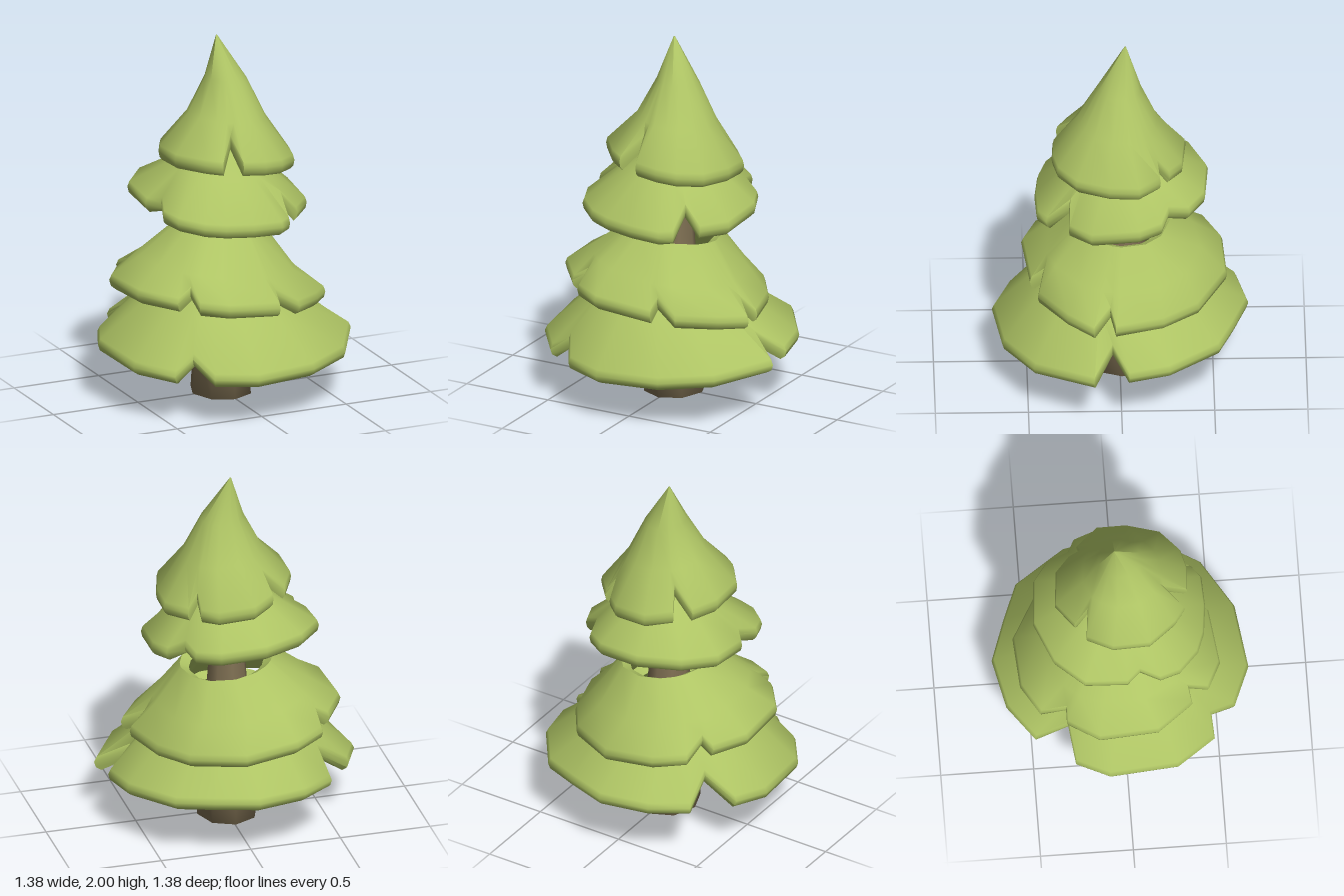
import * as THREE from 'three';
import { toCreasedNormals } from 'three/addons/utils/BufferGeometryUtils.js';

const green = new THREE.MeshStandardMaterial({ color: 0xaec464 });
const brown = new THREE.MeshStandardMaterial({ color: 0x7f7053 });

// Thick skirt of foliage. profile: upper rings [radius, y, shiftX, shiftZ];
// rim: hem points [x, z, lift] where lift marks a notch; y and tilt place the hem plane.
function skirt(name, { profile, rim, y, tiltX = 0, tiltZ = 0, thickness = 0.05 }) {
  const tilted = (x, h, z) => [x, h + tiltX * x + tiltZ * z, z];
  const positions = [];
  const index = [];
  const ring = ([r, h, cx = 0, cz = 0]) => {
    for (const [x, z] of rim) {
      const a = Math.atan2(z, x);
      positions.push(...tilted(cx + r * Math.cos(a), h, cz + r * Math.sin(a)));
    }
  };
  const hem = (scale, rise) => {
    for (const [x, z, lift = 0] of rim) positions.push(...tilted(x * scale, y + rise + lift, z * scale));
  };
  // Outside going down, round the lip, then back up the inside
  profile.forEach(ring);
  hem(0.98, 0.08);
  hem(1, 0.05);
  hem(0.985, 0.018);
  hem(0.945, 0);
  hem(0.9, 0.02);
  [...profile].reverse().forEach(([r, h, cx, cz]) =>
    ring([Math.max(r - thickness, 0.003), h - thickness * 0.6, cx, cz]));

  const cols = rim.length;
  const rows = positions.length / 3 / cols;
  for (let i = 0; i < rows; i++) {
    for (let j = 0; j < cols; j++) {
      const k = (j + 1) % cols;
      const n = (i + 1) % rows;
      const a = i * cols + j, b = i * cols + k, c = n * cols + j, d = n * cols + k;
      index.push(a, b, c, b, d, c);
    }
  }
  const geometry = new THREE.BufferGeometry();
  geometry.setAttribute('position', new THREE.Float32BufferAttribute(positions, 3));
  geometry.setIndex(index);
  const mesh = new THREE.Mesh(toCreasedNormals(geometry, 1.1), green);
  mesh.name = name;
  return mesh;
}

export function createModel() {
  const tree = new THREE.Group();
  tree.name = 'pineTree';

  // Tapering trunk with a closed base, slightly narrower across than deep
  const trunkProfile = [[0, 0], [0.185, 0], [0.165, 0.3], [0.13, 0.7], [0.108, 1.0], [0.075, 1.4], [0, 1.42]]
    .map(([r, h]) => new THREE.Vector2(r, h));
  const trunkGeometry = new THREE.LatheGeometry(trunkProfile, 8).scale(0.9, 1, 1);
  const trunk = new THREE.Mesh(trunkGeometry, brown);
  trunk.name = 'trunk';
  trunk.position.set(-0.005, 0, -0.01);
  tree.add(trunk);

  tree.add(skirt('bottomFoliage', {
    profile: [[0.25, 0.73, -0.02, 0.02], [0.4, 0.575, -0.03, 0.03]],
    y: 0.265, tiltZ: -0.065,
    rim: [
      [0, -0.69], [0.23, -0.61], [0.43, -0.53], [0.62, -0.26], [0.665, -0.04], [0.525, 0.05, 0.1],
      [0.69, 0.15], [0.51, 0.47], [0.25, 0.635], [-0.1, 0.685], [-0.32, 0.595],
      [-0.39, 0.465, 0.08], [-0.5, 0.475], [-0.65, 0.27], [-0.69, -0.1], [-0.61, -0.28],
      [-0.43, -0.31, 0.12], [-0.455, -0.49], [-0.27, -0.63],
    ],
  }));

  tree.add(skirt('lowerFoliage', {
    profile: [[0.25, 0.92, 0, -0.02], [0.42, 0.735, -0.03, -0.015]],
    y: 0.54, tiltX: -0.125, tiltZ: 0.03,
    rim: [
      [0.04, -0.575], [0.32, -0.42], [0.45, -0.23], [0.525, 0.03], [0.44, 0.06, 0.06],
      [0.54, 0.15], [0.43, 0.29], [0.25, 0.445], [0.125, 0.415, 0.06], [0.12, 0.485], [-0.2, 0.525],
      [-0.345, 0.455], [-0.35, 0.345, 0.06], [-0.43, 0.36], [-0.58, 0.17], [-0.6, -0.15],
      [-0.49, -0.32], [-0.42, -0.32, 0.05], [-0.415, -0.46], [-0.25, -0.555],
    ],
  }));

  tree.add(skirt('upperFoliage', {
    profile: [[0.1, 1.43], [0.25, 1.285]],
    y: 1.045, tiltX: -0.06, tiltZ: -0.12,
    rim: [
      [-0.1, -0.475], [0.15, -0.455], [0.27, -0.37], [0.3, -0.26, 0.04], [0.39, -0.22], [0.44, -0.1],
      [0.425, 0.16], [0.315, 0.28], [0.22, 0.275, 0.1], [0.215, 0.4], [0.15, 0.45], [-0.02, 0.458],
      [-0.18, 0.44], [-0.29, 0.4], [-0.4, 0.3], [-0.44, 0.19], [-0.4, 0.08, 0.03],
      [-0.46, 0.01], [-0.46, -0.22], [-0.325, -0.38],
    ],
  }));

  tree.add(skirt('topFoliage', {
    profile: [[0.004, 2, -0.02, -0.03], [0.115, 1.77, 0.02, 0], [0.215, 1.565, 0.02, 0.01]],
    y: 1.3, tiltX: -0.1, tiltZ: 0.04,
    rim: [
      [-0.07, -0.355], [0.13, -0.335], [0.21, -0.265], [0.215, -0.2, 0.08], [0.27, -0.215], [0.37, -0.1],
      [0.37, 0.06], [0.315, 0.24], [0.2, 0.34], [0.09, 0.368], [-0.04, 0.36], [-0.06, 0.235, 0.12],
      [-0.15, 0.34], [-0.23, 0.285], [-0.345, 0.14], [-0.35, -0.06], [-0.28, -0.2],
      [-0.155, -0.185, 0.12], [-0.195, -0.26],
    ],
  }));

  return tree;
}
